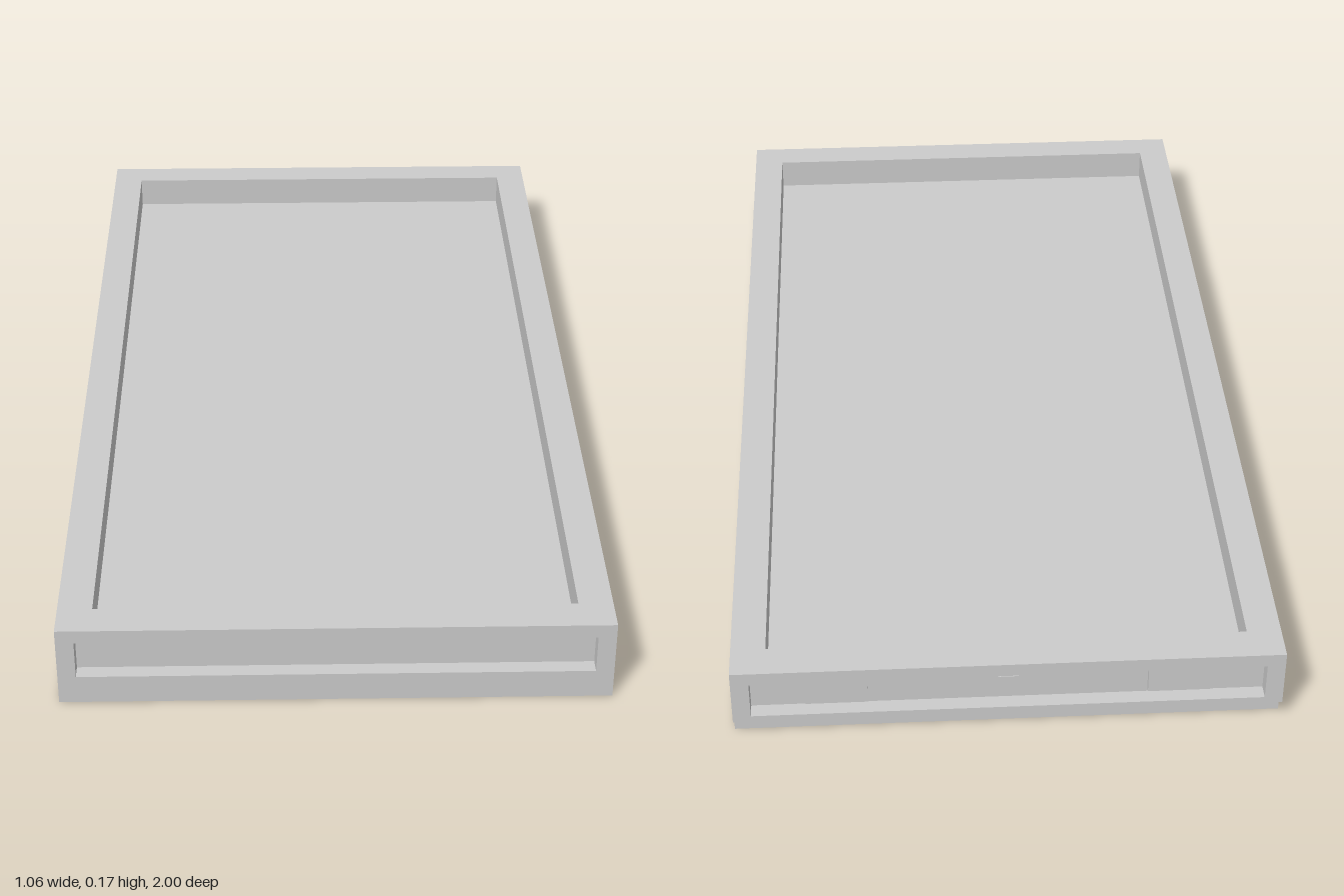
import * as THREE from 'three';

const W = 0.53, L = 1, H = 0.168;   // half width, half length, height
const D = 0.03;                     // depth of the recesses in the walls
const FLOOR = 0.1;                  // height of the tray floor
const STEP = 0.045;                 // height of the step under the back edge

function rect(Type, x0, x1, y0, y1) {
  const s = new Type();
  s.moveTo(x0, y0);
  s.lineTo(x1, y0);
  s.lineTo(x1, y1);
  s.lineTo(x0, y1);
  s.closePath();
  return s;
}

// Rectangle with a rectangular window, extruded along +z
function windowed(outer, inner, depth) {
  const shape = rect(THREE.Shape, ...outer);
  shape.holes.push(rect(THREE.Path, ...inner));
  return new THREE.ExtrudeGeometry(shape, { depth, bevelEnabled: false });
}

export function createModel() {
  const model = new THREE.Group();
  const material = new THREE.MeshStandardMaterial({ color: 0xcccccc, flatShading: true });
  const add = (name, geometry, x = 0, y = 0, z = 0, turn = 0) => {
    const mesh = new THREE.Mesh(geometry, material);
    mesh.name = name;
    mesh.position.set(x, y, z);
    mesh.rotation.y = turn;
    model.add(mesh);
    return mesh;
  };
  const w = W - D, l = L - D;       // core, inside the wall frames

  // Solid base and the rim around the tray
  add('base', new THREE.BoxGeometry(2 * w, FLOOR, 2 * l), 0, FLOOR / 2, 0);
  const rim = windowed([-w, w, -l, l], [-0.463, 0.463, -0.93, 0.93], H - FLOOR);
  rim.rotateX(-Math.PI / 2);
  add('rim', rim, 0, FLOOR, 0);

  // Wall frames, each with a long shallow recess
  const end = [-0.495, 0.495, 0.06, 0.14];
  add('frontFrame', windowed([-W, W, 0, H], end, D), 0, 0, l);
  add('backFrame', windowed([-W, W, STEP, H], end, D), 0, 0, -l, Math.PI);
  for (const side of [-1, 1]) {
    add(side > 0 ? 'leftFrame' : 'rightFrame',
      windowed([-l, l, 0, H], [-0.942, 0.942, 0.06, 0.14], D),
      side * w, 0, 0, side * Math.PI / 2);

    // Raised pads in the back recess
    add('backPad', new THREE.BoxGeometry(0.12, 0.06, 0.012), side * 0.33, 0.1, -l - 0.006);
  }

  // Small pointed marker in the middle of the back recess
  const tip = new THREE.Shape([[-0.02, 0.02], [0.02, 0.02], [0, -0.02]]
    .map(([x, y]) => new THREE.Vector2(x, y)));
  add('backMarker', new THREE.ExtrudeGeometry(tip, { depth: 0.01, bevelEnabled: false }),
    0, 0.1, -l, Math.PI);

  return model;
}
